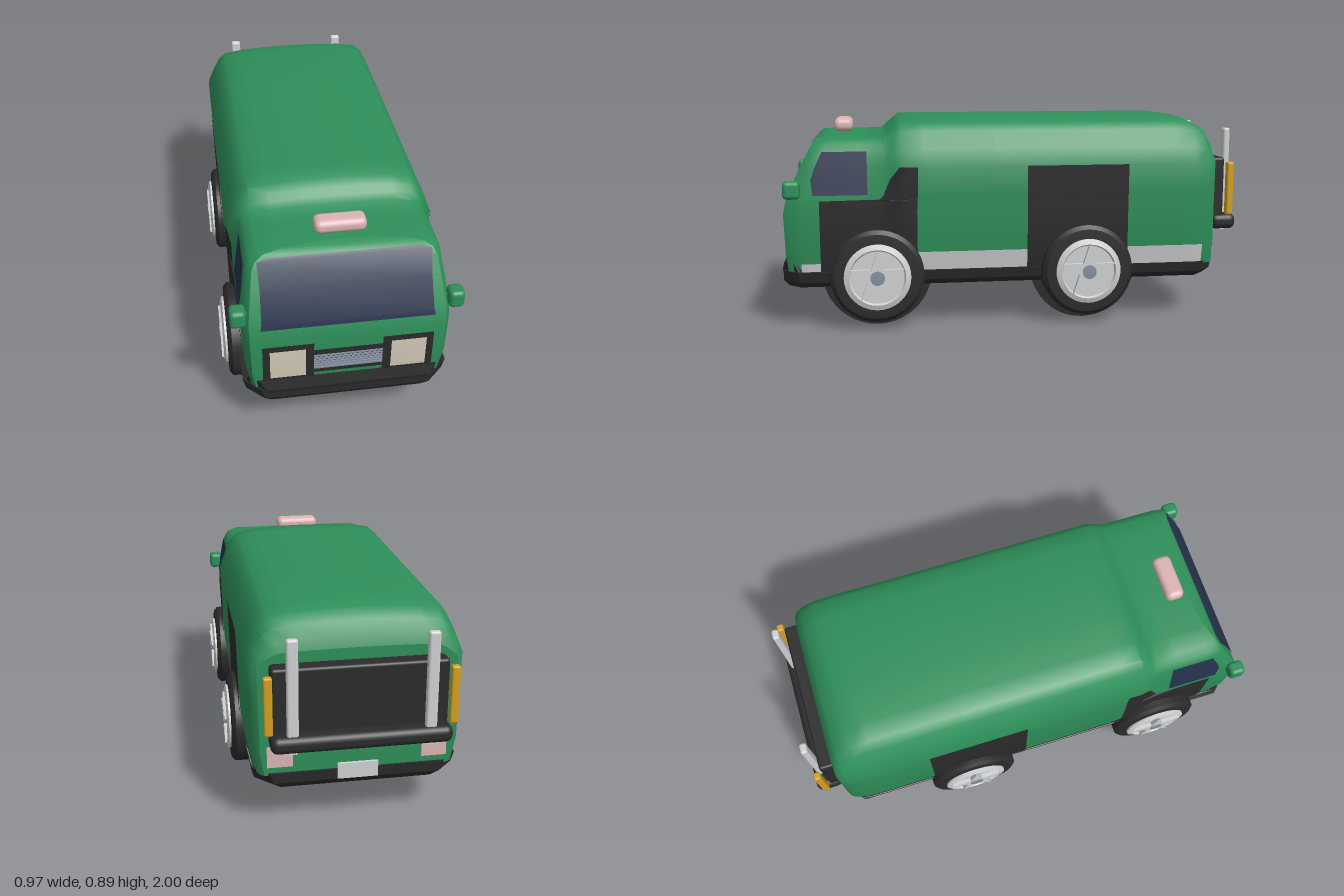
import * as THREE from 'three';
import { toCreasedNormals } from 'three/addons/utils/BufferGeometryUtils.js';
import { RoundedBoxGeometry } from 'three/addons/geometries/RoundedBoxGeometry.js';

const paint = (name, color) => {
  const m = new THREE.MeshStandardMaterial({ color });
  m.name = name;
  return m;
};

// Half sections from sill to roof centre: [x, y]
const BODY = [[.40, .24], [.418, .33], [.42, .5], [.422, .57], [.425, .69], [.40, .76], [.365, .835], [.33, .867], [.25, .88], [.12, .888], [0, .89]];
const CAB = [[.385, .24], [.40, .33], [.405, .5], [.405, .57], [.388, .69], [.378, .755], [.362, .785], [.33, .803], [.25, .81], [.12, .814], [0, .815]];
// Nose profile [y, z], nose taper [t, scale], tail taper [z, scale], tail roof drop [z, scale]
const NOSE = [[.24, .97], [.33, .98], [.5, .985], [.57, .968], [.69, .912], [.785, .862], [.803, .845], [.815, .80]];
const NOSE_TAPER = [[0, 1], [.8, 1], [.93, .985], [1, .94]];
const TAIL_TAPER = [[-.88, .91], [-.868, .95], [-.84, .98], [-.78, 1]];
const TAIL_DROP = [[-.88, .3], [-.868, .5], [-.84, .78], [-.78, .94], [-.70, 1]];
const CAB_BACK = .57, BODY_FRONT = .49;

// Piecewise linear lookup
function look(table, v) {
  if (v <= table[0][0]) return table[0][1];
  for (let i = 1; i < table.length; i++) {
    const [a, p] = table[i - 1], [b, q] = table[i];
    if (v <= b) return p + (q - p) * (v - a) / (b - a);
  }
  return table[table.length - 1][1];
}
const swap = (profile) => profile.map(([x, y]) => [y, x]);
const BODY_X = swap(BODY), CAB_X = swap(CAB);
const noseZ = (y) => look(NOSE, y);

// Half width of the shell at a height and depth
function sideX(y, z) {
  const k = THREE.MathUtils.clamp((z - BODY_FRONT) / (CAB_BACK - BODY_FRONT), 0, 1);
  const x = THREE.MathUtils.lerp(look(BODY_X, y), look(CAB_X, y), k);
  const t = (z - CAB_BACK) / (noseZ(y) - CAB_BACK);
  return x * look(TAIL_TAPER, z) * look(NOSE_TAPER, t);
}

// Surface through rows of points; it faces (row direction) x (next row)
function grid(rows, crease = .6) {
  const n = rows[0].length, index = [];
  for (let i = 0; i < rows.length - 1; i++)
    for (let j = 0; j < n - 1; j++) {
      const a = i * n + j, c = a + n;
      index.push(a, a + 1, c, a + 1, c + 1, c);
    }
  const g = new THREE.BufferGeometry();
  g.setAttribute('position', new THREE.Float32BufferAttribute(rows.flat(2), 3));
  g.setIndex(index);
  return toCreasedNormals(g, crease);
}

// Eight-sided layers [y, halfWidth, front, back, chamfer], closed at both ends
function layered(layers) {
  const rows = layers.map(([y, w, f, b, c]) => [
    [w, y, f - c], [w, y, b + c], [w - c, y, b], [c - w, y, b],
    [-w, y, b + c], [-w, y, f - c], [c - w, y, f], [w - c, y, f], [w, y, f - c]]);
  const tip = ([y, , f, b]) => Array(9).fill([0, y, (f + b) / 2]);
  return grid([tip(layers[0]), ...rows, tip(layers[layers.length - 1])], .3);
}

export function createModel() {
  const green = paint('green paint', 0x2e8f5a), dark = paint('dark trim', 0x2b2b2b);
  const glass = paint('navy glass', 0x26324d), silver = paint('silver', 0xd0d1d3);
  const grey = paint('slate grey', 0x8590a0), cream = paint('cream lamp', 0xd6ccba);
  const pink = paint('pink lamp', 0xdcb4b4), gold = paint('gold', 0xd4a020);

  const model = new THREE.Group();
  model.name = 'van';
  const add = (name, geo, mat, parent = model) => {
    const m = new THREE.Mesh(geo, mat);
    m.name = name;
    parent.add(m);
    return m;
  };
  const box = (name, mat, w, h, d, x, y, z, r = 0) => {
    const g = r ? new RoundedBoxGeometry(w, h, d, 3, r) : new THREE.BoxGeometry(w, h, d);
    return add(name, g, mat).position.set(x, y, z);
  };

  // Body shell
  const ring = (half) => [...half, ...half.slice(0, -1).reverse().map(([x, y, z]) => [-x, y, z])];
  const rings = [];
  for (const z of [-.88, -.868, -.84, -.78, -.70, -.3, .1, .4, .49, .52, .545]) {
    const k = Math.max(0, (z - BODY_FRONT) / (CAB_BACK - BODY_FRONT));
    rings.push(ring(BODY.map(([x, y], i) => {
      const px = THREE.MathUtils.lerp(x, CAB[i][0], k), py = THREE.MathUtils.lerp(y, CAB[i][1], k);
      return [px * look(TAIL_TAPER, z), py > .69 ? .69 + (py - .69) * look(TAIL_DROP, z) : py, z];
    })));
  }
  for (const t of [0, .35, .8, .93, 1])
    rings.push(ring(CAB.map(([x, y]) => [x * look(NOSE_TAPER, t), y, CAB_BACK + t * (noseZ(y) - CAB_BACK)])));
  add('bodyShell', grid(rings, .8), green);
  const cap = (r, s) => BODY.map((_, j) => s > 0 ? [r[r.length - 1 - j], r[j]] : [r[j], r[r.length - 1 - j]]);
  add('nosePanel', grid(cap(rings[rings.length - 1], 1)), green);
  add('tailPanel', grid(cap(rings[0], -1)), green);

  // Underbody and bumper
  add('underbody', layered([[.175, .35, .975, -.86, .05], [.205, .40, .995, -.885, .07], [.25, .412, .995, -.89, .07]]), dark);
  add('frontBumper', layered([[.18, .33, .98, .8, .04], [.25, .395, 1, .85, .07], [.288, .385, .99, .9, .04]]), dark);

  // Thin plates laid on the nose; rows are [y, x0, x1]
  const nosePlate = (name, mat, rows, lift = .004) =>
    add(name, grid(rows.map(([y, a, b]) => [a, b].map((x) => [x, y, noseZ(y) + lift]))), mat);
  nosePlate('windshield', glass, [[.545, -.338, .338], [.57, -.333, .333], [.69, -.33, .33], [.785, -.335, .335], [.795, -.30, .30]], .005);
  nosePlate('grillePanel', dark, [[.31, -.136, .136], [.33, -.136, .136], [.43, -.136, .136]]);
  for (let i = 0; i < 6; i++) box('grilleBar', grey, .27, .007, .008, 0, .338 + i * .0125, .986);
  for (const s of [-1, 1]) {
    const span = (y, a, b) => s > 0 ? [y, a, b] : [y, -b, -a];
    nosePlate('lampSurround', dark, [span(.28, .135, .335), span(.33, .135, .335), span(.468, .135, .335)], .006);
    nosePlate('headlamp', cream, [span(.304, .168, .307), span(.33, .168, .307), span(.445, .168, .307)], .01);
  }

  // Thin plates laid on both sides; rows are [y, front z, back z]
  const sidePlates = (name, mat, rows, lift = .005) => {
    for (const s of [1, -1])
      add(name, grid(rows.map(([y, f, b]) => {
        const row = Array.from({ length: 17 }, (_, i) => {
          const z = f + (b - f) * i / 16;
          return [s * (sideX(y, z) + lift), y, z];
        });
        return s > 0 ? row : row.reverse();
      })), mat);
  };
  sidePlates('sideWindow', glass, [[.575, .86, .635], [.64, .868, .635], [.69, .85, .635], [.755, .82, .635]]);
  sidePlates('frontArchPanel', dark, [[.24, .835, .43], [.33, .835, .43], [.5, .835, .43], [.552, .835, .428], [.555, .585, .428], [.57, .57, .426], [.64, .54, .425], [.69, .50, .425]]);
  sidePlates('rearArchPanel', dark, [.24, .33, .5, .57, .69].map((y) => [y, -.04, -.48]));
  for (const [f, b, top] of [[.43, -.04, .33], [-.48, -.82, .33], [.915, .835, .285]])
    sidePlates('sillStripe', silver, [[.245, f, b], [top, f, b]], .007);

  // Roof beacon and mirrors
  box('roofBeacon', pink, .205, .058, .082, 0, .846, .738, .025);
  for (const s of [-1, 1]) {
    box('mirror', green, .062, .075, .07, s * .42, .603, .945, .018);
    box('mirrorArm', green, .05, .02, .03, s * .385, .60, .925);
  }

  // Rear rack, stacks, lamps and plate
  box('rearPanel', dark, .68, .28, .08, 0, .563, -.90, .012);
  box('rearBar', dark, .70, .068, .115, 0, .414, -.9425, .028);
  box('rearPlate', silver, .16, .065, .012, 0, .245, -.893);
  for (const s of [-1, 1]) {
    box('exhaustStack', silver, .045, .39, .03, s * .265, .635, -.966, .01);
    box('stackFoot', silver, .035, .02, .028, s * .265, .378, -.955);
    box('goldPost', gold, .034, .235, .03, s * .355, .567, -.958, .008);
    box('tailLamp', pink, .10, .085, .012, s * .305, .32, -.883);
  }

  // Wheels: tyre with a raised centre rib, rim, star spokes and hub
  const turn = (points) => toCreasedNormals(
    new THREE.LatheGeometry(points.map(([r, x]) => new THREE.Vector2(r, x)), 40).rotateZ(-Math.PI / 2), .6);
  const tyre = turn([[0, .235], [.175, .235], [.197, .245], [.197, .32], [.233, .322], [.233, .342], [.197, .344], [.197, .44], [.18, .455], [.14, .457], [0, .457]]);
  const rim = turn([[0, .21], [.11, .21], [.14, .235], [.14, .466], [.118, .474], [.112, .464], [0, .464]]);
  const hub = turn([[0, .46], [.03, .46], [.03, .485], [0, .487]]);
  const star = new THREE.Shape(Array.from({ length: 10 }, (_, i) => {
    const r = i % 2 ? .045 : .118, a = Math.PI / 2 + i * Math.PI / 5;
    return new THREE.Vector2(r * Math.cos(a), r * Math.sin(a));
  }));
  const spokes = new THREE.ExtrudeGeometry(star, { depth: .02, bevelEnabled: false }).rotateY(Math.PI / 2).translate(.462, 0, 0);
  for (const z of [.6, -.3])
    for (const s of [-1, 1]) {
      const wheel = new THREE.Group();
      wheel.name = (z > 0 ? 'front' : 'rear') + (s > 0 ? 'Left' : 'Right') + 'Wheel';
      add('tyre', tyre, dark, wheel);
      add('rim', rim, silver, wheel);
      add('spokes', spokes, silver, wheel);
      add('hub', hub, grey, wheel);
      wheel.position.set(0, .234, z);
      if (s < 0) wheel.rotation.y = Math.PI;
      model.add(wheel);
    }
  return model;
}
